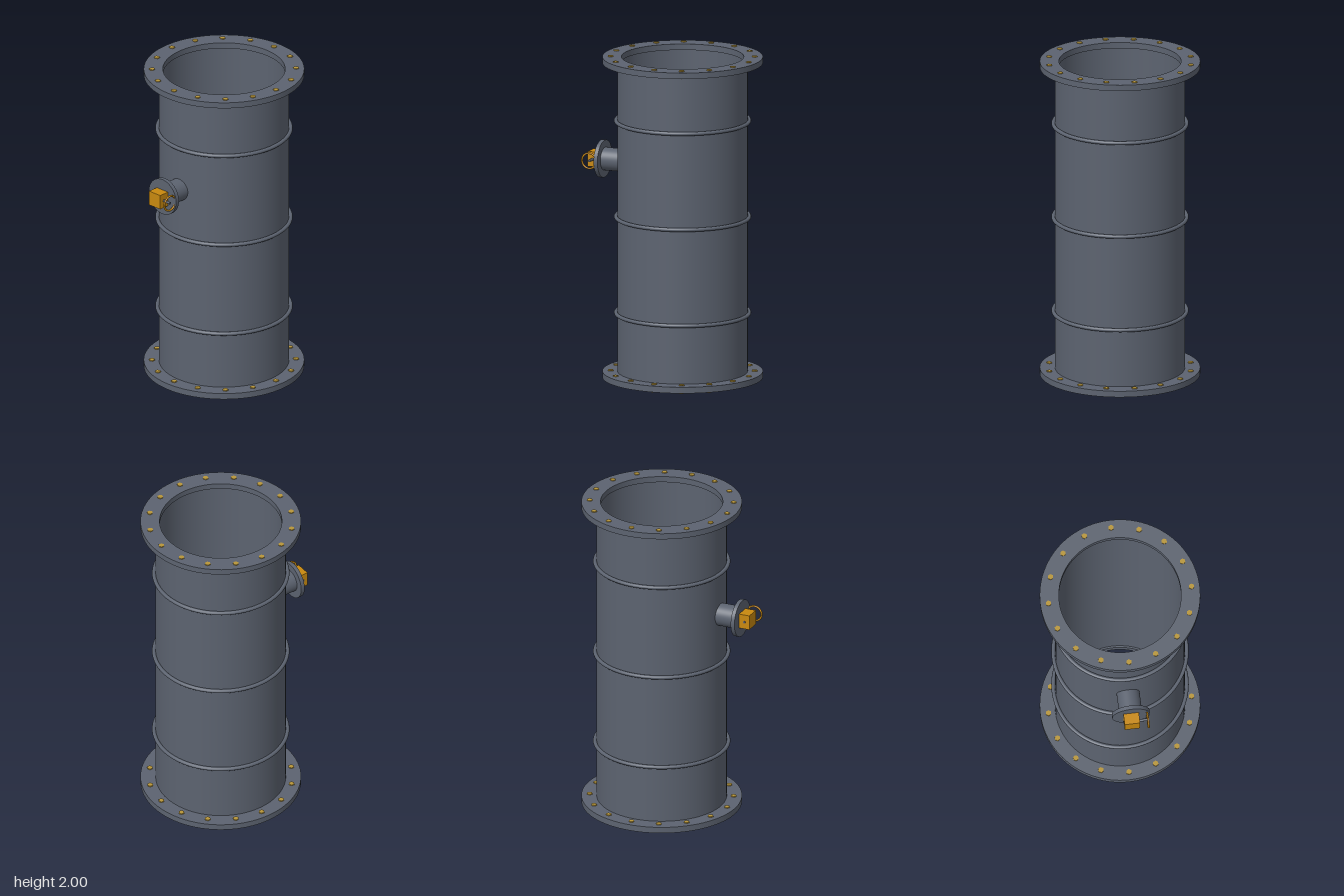
import * as THREE from 'three';

const steel = new THREE.MeshStandardMaterial({ color: 0x5c6370 });
steel.name = 'slate steel';
const gold = new THREE.MeshStandardMaterial({ color: 0xc8890f });
gold.name = 'valve amber';
const brass = new THREE.MeshStandardMaterial({ color: 0xb8963a });
brass.name = 'bolt brass';

const AXIS_Z = -0.072; // pipe axis
const VALVE_Y = 1.32;

function add(parent, name, geometry, material, x = 0, y = 0, z = 0) {
  const mesh = new THREE.Mesh(geometry, material);
  mesh.name = name;
  mesh.position.set(x, y, z);
  parent.add(mesh);
  return mesh;
}

// Hollow ring of rectangular section; each wall is a separate strip so edges stay sharp
function tube(parent, name, inner, outer, y0, y1) {
  const group = new THREE.Group();
  group.name = name;
  const corners = [[inner, y0], [outer, y0], [outer, y1], [inner, y1], [inner, y0]];
  const walls = ['Underside', 'OuterWall', 'TopFace', 'InnerWall'];
  walls.forEach((wall, i) => {
    const points = [corners[i], corners[i + 1]].map(([r, y]) => new THREE.Vector2(r, y));
    add(group, name + wall, new THREE.LatheGeometry(points, 96), steel);
  });
  parent.add(group);
}

export function createModel() {
  const model = new THREE.Group();
  model.name = 'flangedPipe';

  const pipe = new THREE.Group();
  pipe.name = 'pipe';
  pipe.position.z = AXIS_Z;
  model.add(pipe);
  tube(pipe, 'shell', 0.382, 0.395, 0.03, 1.98);

  // End flanges with a circle of sixteen hex bolts each
  const ends = [
    { name: 'bottom', y0: 0.01, y1: 0.048, b0: 0, b1: 0.054 },
    { name: 'top', y0: 1.958, y1: 1.995, b0: 1.95, b1: 2 },
  ];
  for (const { name, y0, y1, b0, b1 } of ends) {
    tube(pipe, name + 'Flange', 0.371, 0.487, y0, y1);
    const boltGeometry = new THREE.CylinderGeometry(0.018, 0.018, b1 - b0, 6).toNonIndexed();
    boltGeometry.computeVertexNormals();
    for (let i = 0; i < 16; i++) {
      const a = (i / 16) * Math.PI * 2;
      add(pipe, name + 'Bolt', boltGeometry, brass,
        0.437 * Math.sin(a), (b0 + b1) / 2, 0.437 * Math.cos(a));
    }
  }

  // Stiffening rings round the shell
  for (const y of [0.41, 1.005, 1.6]) {
    add(pipe, 'stiffeningRing', new THREE.TorusGeometry(0.405, 0.012, 12, 96), steel, 0, y)
      .rotation.x = Math.PI / 2;
  }

  // Side branch with its flange
  const branch = new THREE.Group();
  branch.name = 'sideBranch';
  branch.position.y = VALVE_Y;
  model.add(branch);
  add(branch, 'branchPipe', new THREE.CylinderGeometry(0.07, 0.07, 0.135, 48), steel, 0, 0, 0.3805)
    .rotation.x = Math.PI / 2;
  add(branch, 'branchFlange', new THREE.CylinderGeometry(0.115, 0.115, 0.025, 48), steel, 0, 0, 0.454)
    .rotation.x = Math.PI / 2;

  // Valve body, stem and handwheel
  add(branch, 'valveBody', new THREE.BoxGeometry(0.094, 0.092, 0.07), gold, 0, 0, 0.5);
  add(branch, 'valveStem', new THREE.CylinderGeometry(0.008, 0.008, 0.152, 16), steel, 0.024, 0, 0.502)
    .rotation.z = Math.PI / 2;
  add(branch, 'handwheel', new THREE.TorusGeometry(0.047, 0.006, 10, 40), gold, 0.098, 0, 0.503)
    .rotation.y = Math.PI / 2;

  return model;
}
